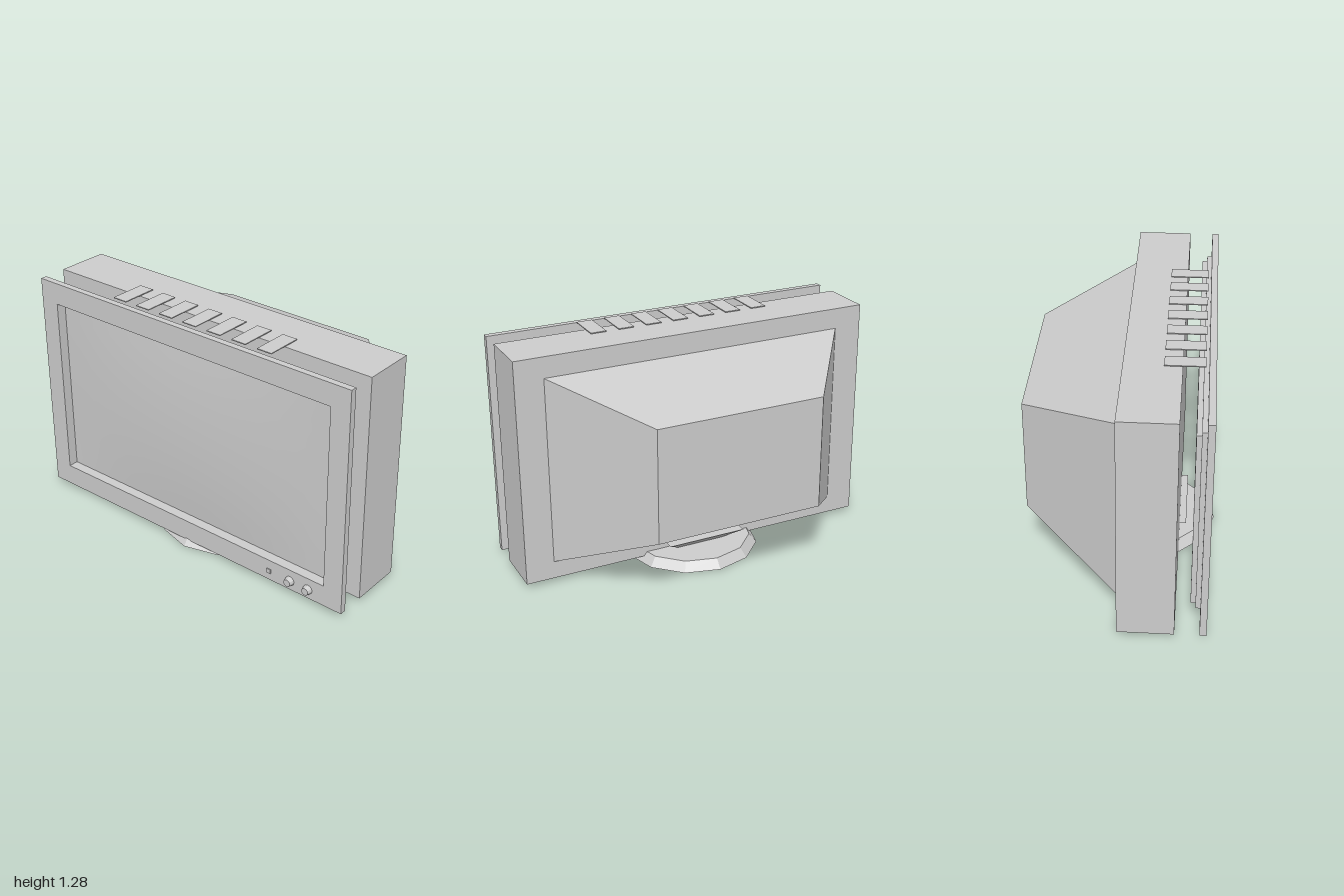
import * as THREE from 'three';

export function createModel() {
  const model = new THREE.Group();
  model.name = 'monitor';
  const grey = new THREE.MeshStandardMaterial({ color: 0xcccccc });
  grey.name = 'light grey plastic';

  const add = (name, geometry, x = 0, y = 0, z = 0) => {
    const mesh = new THREE.Mesh(geometry, grey);
    mesh.name = name;
    mesh.position.set(x, y, z);
    model.add(mesh);
    return mesh;
  };

  // Box given by its limits, symmetric in x
  const slab = (name, halfWidth, y0, y1, z0, z1) =>
    add(name, new THREE.BoxGeometry(halfWidth * 2, y1 - y0, z1 - z0), 0, (y0 + y1) / 2, (z0 + z1) / 2);

  // Flat frame around the screen opening
  const screen = { w: 0.89, y0: 0.145, y1: 1.15 };
  const trace = (path, w, y0, y1) =>
    path.moveTo(-w, y0).lineTo(w, y0).lineTo(w, y1).lineTo(-w, y1).closePath();
  const frame = (name, w, y0, y1, z0, z1) => {
    const shape = trace(new THREE.Shape(), w, y0, y1);
    shape.holes.push(trace(new THREE.Path(), screen.w, screen.y0, screen.y1));
    return add(name, new THREE.ExtrudeGeometry(shape, { depth: z1 - z0, bevelEnabled: false }), 0, 0, z0);
  };

  // Front bezel and screen unit
  frame('bezel', 1, 0.027, 1.27, 0.425, 0.46);
  frame('screenSurround', 0.91, 0.125, 1.17, 0.4, 0.425);
  slab('screenBack', 0.9, 0.15, 1.146, 0.375, 0.4);

  // Gently bulging screen
  const height = screen.y1 - screen.y0;
  const glass = new THREE.PlaneGeometry(screen.w * 2, height, 16, 10);
  const p = glass.attributes.position;
  for (let i = 0; i < p.count; i++) {
    const u = p.getX(i) / screen.w, v = p.getY(i) / (height / 2);
    p.setZ(i, 0.025 * (1 - u * u) * (1 - v * v));
  }
  glass.computeVertexNormals();
  add('screen', glass, 0, (screen.y0 + screen.y1) / 2, 0.405);

  // Main housing
  slab('housing', 1, 0.027, 1.27, 0.012, 0.3);

  // Tapered rear housing: the box's back corners are drawn inwards
  let rear = new THREE.BoxGeometry(2, 2, 2).toNonIndexed();
  const r = rear.attributes.position;
  for (let i = 0; i < r.count; i++) {
    const back = r.getZ(i) < 0, top = r.getY(i) > 0;
    r.setXYZ(i, Math.sign(r.getX(i)) * (back ? 0.465 : 0.845),
      top ? (back ? 1.003 : 1.157) : (back ? 0.38 : 0.125), back ? -0.488 : 0.012);
  }
  rear.computeVertexNormals();
  add('rearHousing', rear);

  // Row of tabs along the top
  for (let i = -3; i <= 3; i++) {
    add('topTab', new THREE.BoxGeometry(0.086, 0.005, 0.2), i * 0.156, 1.2765, 0.31);
  }

  // Control knobs and small button
  const flat = (geometry) => {
    const g = geometry.toNonIndexed();
    g.computeVertexNormals();
    return g;
  };
  for (const x of [0.685, 0.797]) {
    add('knob', flat(new THREE.CylinderGeometry(0.02, 0.027, 0.028, 12)), x, 0.08, 0.473).rotation.x = Math.PI / 2;
  }
  add('button', new THREE.BoxGeometry(0.025, 0.025, 0.006), 0.552, 0.08, 0.462);

  // Stand: twelve-sided foot and a square neck that widens upwards
  add('foot', flat(new THREE.CylinderGeometry(0.335, 0.376, 0.05, 12)), 0, 0.025, 0.113);
  const neck = new THREE.CylinderGeometry(0.223 * Math.SQRT2, 0.133 * Math.SQRT2, 0.07, 4).rotateY(Math.PI / 4);
  add('neck', flat(neck), 0, 0.083, 0.113);

  return model;
}
